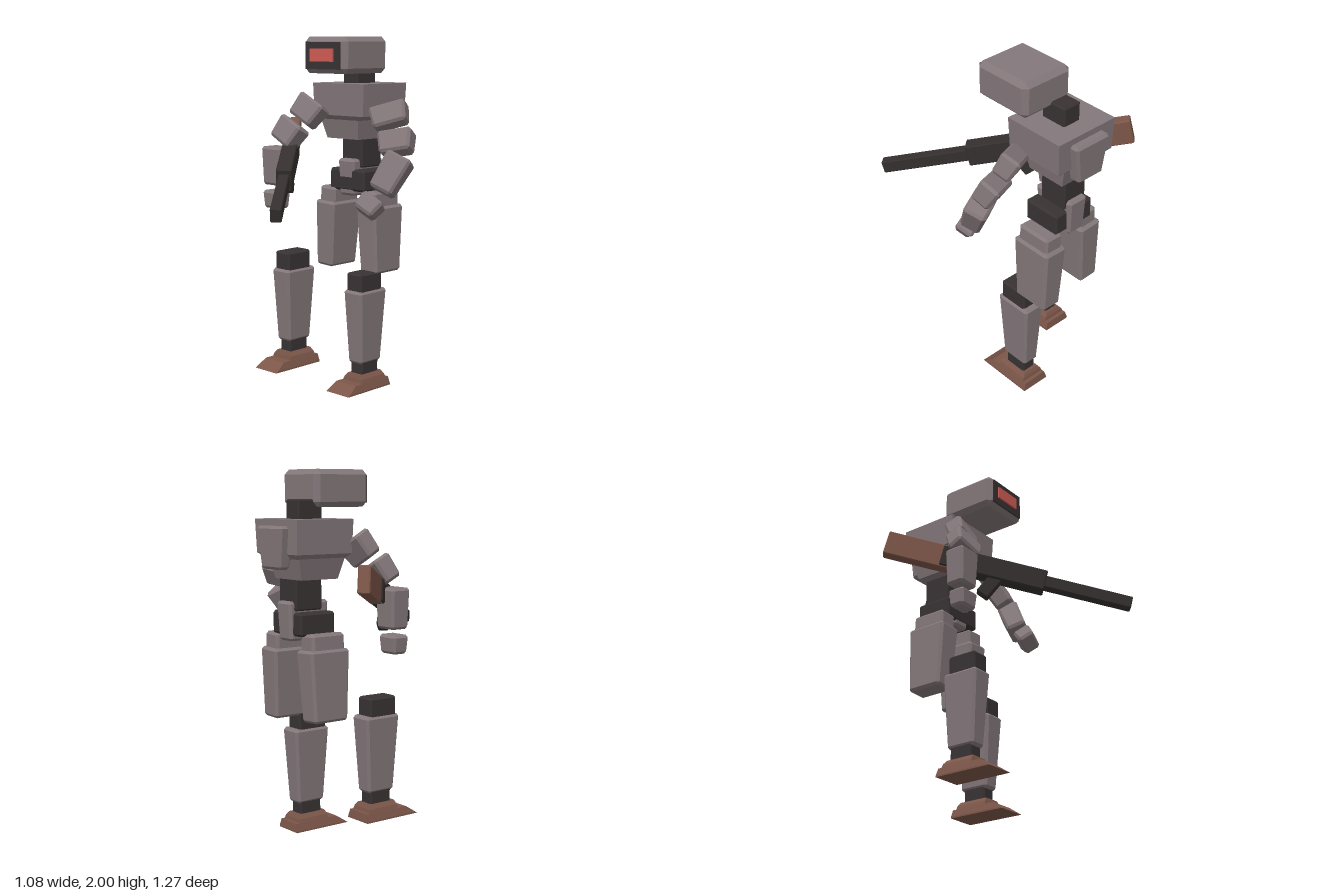
import * as THREE from 'three';
import { ConvexGeometry } from 'three/addons/geometries/ConvexGeometry.js';

const V = (x, y, z) => new THREE.Vector3(x, y, z);

function material(name, color) {
  const m = new THREE.MeshStandardMaterial({ color });
  m.name = name;
  return m;
}

// Chamfered box, optionally tapered toward its lower end
function block(w, h, d, bevel = 0.012, taperX = 1, taperZ = 1) {
  const pts = [];
  for (const sx of [-1, 1]) for (const sy of [-1, 1]) for (const sz of [-1, 1]) {
    const kx = sy < 0 ? taperX : 1, kz = sy < 0 ? taperZ : 1;
    const x = w / 2 * kx, y = h / 2, z = d / 2 * kz, b = bevel;
    pts.push(V(sx * x, sy * (y - b), sz * (z - b)));
    pts.push(V(sx * (x - b), sy * y, sz * (z - b)));
    pts.push(V(sx * (x - b), sy * (y - b), sz * z));
  }
  return new ConvexGeometry(pts);
}

// Convex solid through rectangles given as [y, x0, x1, z0, z1]
function loft(rects) {
  const pts = [];
  for (const [y, x0, x1, z0, z1] of rects)
    for (const x of [x0, x1]) for (const z of [z0, z1]) pts.push(V(x, y, z));
  return new ConvexGeometry(pts);
}

export function createModel() {
  const model = new THREE.Group();
  const armor = material('armor grey', 0x83777a);
  const joint = material('joint black', 0x383233);
  const gun = material('gun metal', 0x352f2f);
  const leather = material('boot brown', 0x7c5649);
  const glow = material('visor red', 0xd05c54);

  const add = (name, geo, mat, pos = [0, 0, 0], parent = model) => {
    const m = new THREE.Mesh(geo, mat);
    m.name = name;
    m.position.set(...pos);
    parent.add(m);
    return m;
  };
  // Turns a part so local y follows "axis" and local x stays near "side"
  const aim = (mesh, axis, side) => {
    const y = V(...axis).normalize();
    const x = V(...side).addScaledVector(y, -V(...side).dot(y)).normalize();
    mesh.quaternion.setFromRotationMatrix(
      new THREE.Matrix4().makeBasis(x, y, x.clone().cross(y)));
    return mesh;
  };

  // Head and visor
  add('head', block(0.32, 0.2, 0.355, 0.028), armor, [0.103, 1.9, -0.212]);
  add('visorFrame', new THREE.BoxGeometry(0.26, 0.148, 0.008), joint, [0.102, 1.897, -0.033]);
  add('visor', new THREE.BoxGeometry(0.17, 0.07, 0.009), glow, [0.1, 1.9, -0.0245]);
  add('neck', block(0.114, 0.16, 0.155, 0.008), joint, [0.031, 1.763, -0.407]);

  // Torso
  add('chest', loft([
    [1.74, -0.165, 0.225, -0.59, -0.228],
    [1.56, -0.158, 0.217, -0.584, -0.234],
    [1.535, -0.135, 0.16, -0.56, -0.262]]), armor);
  add('abdomen', loft([
    [1.55, -0.14, 0.152, -0.56, -0.262],
    [1.425, -0.108, 0.13, -0.525, -0.29]]), armor);
  add('backpack', block(0.23, 0.225, 0.09, 0.014, 0.75, 0.8), armor, [0.03, 1.593, -0.592]);
  add('waist', block(0.155, 0.2, 0.17, 0.008), joint, [0.028, 1.36, -0.435]);
  add('pelvis', block(0.125, 0.21, 0.255, 0.014, 0.92, 0.92), armor, [0.028, 1.205, -0.423]);
  add('hipJoint', block(0.265, 0.125, 0.225, 0.012), joint, [0.033, 1.19, -0.413]);

  // Thighs
  const thighs = [
    { name: 'leftThigh', pos: [0.183, 0.855, -0.424], tilt: 0.03 },
    { name: 'rightThigh', pos: [-0.121, 0.865, -0.392], tilt: -0.05 }];
  for (const { name, pos, tilt } of thighs) {
    const g = new THREE.Group();
    g.name = name;
    g.position.set(...pos);
    g.rotation.z = tilt;
    add('thighPlate', block(0.147, 0.385, 0.25, 0.014, 0.85, 0.87), armor, [0, 0, 0], g);
    add('thighCap', block(0.118, 0.13, 0.21, 0.014), armor, [0, 0.212, 0], g);
    model.add(g);
  }

  // Lower legs: the right one is stepping forward and up
  for (const [name, pos] of [['leftLowerLeg', [0.189, 0.005, -0.29]], ['rightLowerLeg', [-0.183, 0.108, -0.086]]]) {
    const g = new THREE.Group();
    g.name = name;
    g.position.set(...pos);
    add('knee', block(0.112, 0.13, 0.178, 0.01), joint, [0, 0.61, 0.004], g);
    add('shin', block(0.135, 0.425, 0.225, 0.014, 0.76, 0.78), armor, [0, 0.363, -0.004], g);
    add('ankle', block(0.086, 0.1, 0.14, 0.008), joint, [0, 0.125, -0.004], g);
    add('bootUpper', loft([
      [0.09, -0.048, 0.048, -0.09, 0.085],
      [0.068, -0.066, 0.066, -0.1, 0.092],
      [0.04, -0.076, 0.076, -0.105, 0.098]]), leather, [0, 0, 0], g);
    add('bootSole', loft([
      [0.048, -0.074, 0.074, -0.125, 0.15],
      [0.008, -0.086, 0.086, -0.13, 0.21],
      [0, -0.086, 0.086, -0.13, 0.222]]), leather, [0, 0, 0], g);
    model.add(g);
  }

  // Arms: chains of chamfered blocks [name, centre, size, axis, side]
  const upper = [0.195, 0.14, 0.11], lower = [0.152, 0.22, 0.125], palm = [0.136, 0.102, 0.105];
  const arms = [
    ['leftShoulder', [0.315, 1.565, -0.345], [0.21, 0.125, 0.115], [-0.08, 0.15, -0.05], [0.15, 0.07, -0.1]],
    ['leftUpperArm', [0.405, 1.425, -0.3], [0.195, 0.13, 0.12], [-0.06, 0.15, -0.07], [0.16, 0.08, -0.1]],
    ['leftForearm', [0.435, 1.26, -0.225], lower, [0.045, 0.17, -0.1], [0.15, -0.06, -0.05]],
    ['leftHand', [0.39, 1.095, -0.1], palm, [0.04, 0.1, -0.09], [0.15, -0.06, -0.04]],
    ['rightShoulder', [-0.143, 1.58, -0.17], upper, [0.065, 0.13, -0.075], [0.153, -0.09, 0.01]],
    ['rightUpperArm', [-0.22, 1.455, -0.09], upper, [0.065, 0.13, -0.065], [0.15, -0.09, 0.04]],
    ['rightForearm', [-0.28, 1.268, -0.055], lower, [0, 1, 0], [1, 0, 0]],
    ['rightHand', [-0.278, 1.075, -0.045], palm, [0, 1, 0], [1, 0, 0]]];
  for (const [name, pos, size, axis, side] of arms)
    aim(add(name, block(...size, 0.014, 0.9, 0.9), armor, pos), axis, side);

  // Rifle: local z runs from the stock (0) to the muzzle
  const rifle = new THREE.Group();
  rifle.name = 'rifle';
  rifle.position.set(-0.5, 1.45, -0.42);
  const f = V(0.91, -0.33, 1.035).normalize();
  const side = V(0, 1, 0).cross(f).normalize();
  rifle.quaternion.setFromRotationMatrix(
    new THREE.Matrix4().makeBasis(side, f.clone().cross(side), f));
  add('stock', block(0.066, 0.145, 0.37, 0.006), leather, [0, 0, 0.18], rifle);
  add('receiver', block(0.085, 0.125, 0.6, 0.006), gun, [0, 0, 0.615], rifle);
  add('barrel', block(0.058, 0.072, 0.55, 0.005), gun, [0, 0, 1.135], rifle);
  const grip = add('grip', block(0.055, 0.15, 0.075, 0.005), gun, [0, -0.1, 0.62], rifle);
  grip.rotation.x = 0.4;
  model.add(rifle);

  return model;
}
